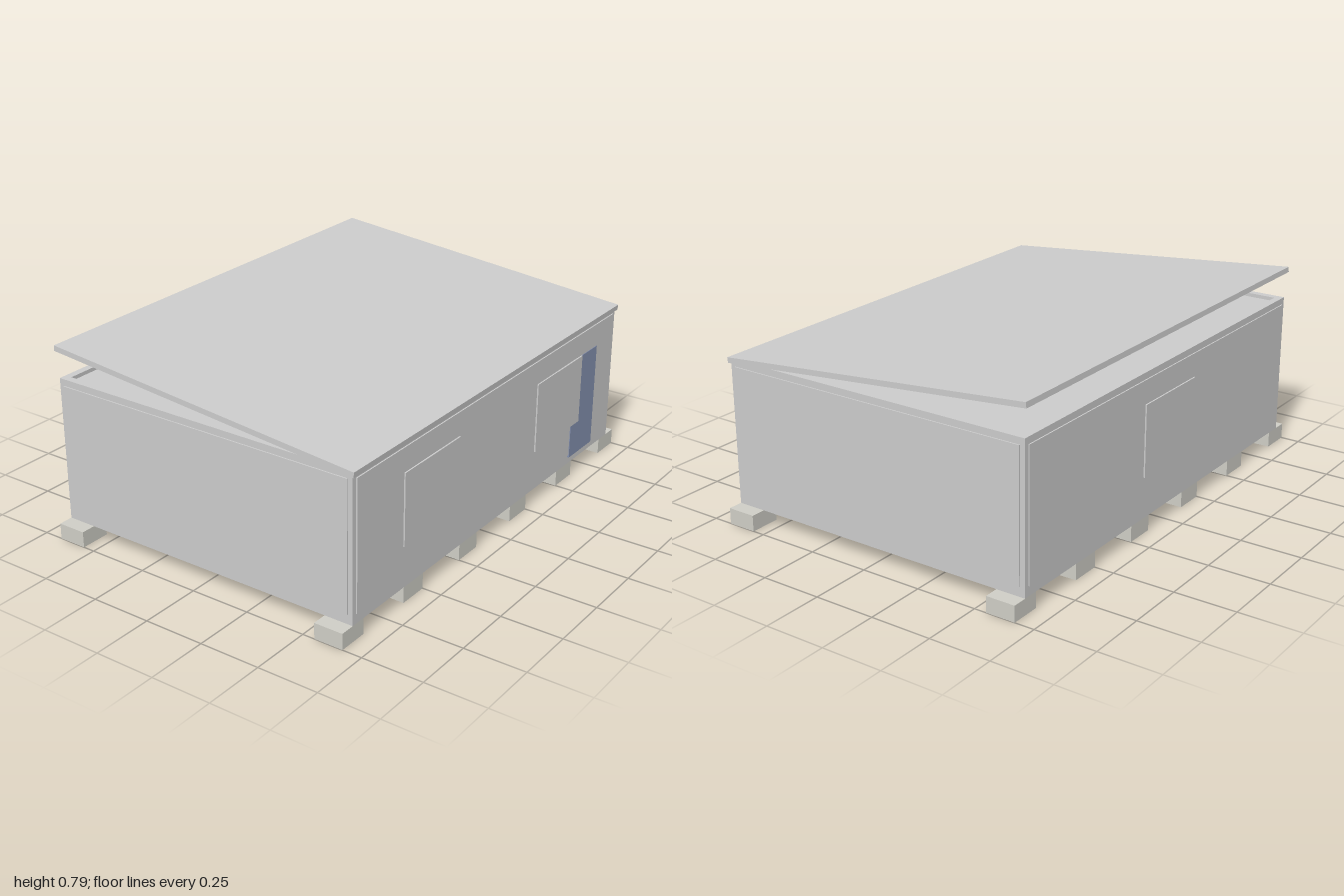
import * as THREE from 'three';

const GREY = new THREE.MeshStandardMaterial({ color: 0xcccccc });
const CONCRETE = new THREE.MeshStandardMaterial({ color: 0xcfcec6 });
const TIMBER = new THREE.MeshStandardMaterial({ color: 0xd6ccb8 });
const BLUE = new THREE.MeshStandardMaterial({ color: 0x8591b0 });

// Box given by its minimum and maximum on each axis
function box(parent, name, [x0, x1], [y0, y1], [z0, z1], material = GREY) {
  const mesh = new THREE.Mesh(new THREE.BoxGeometry(x1 - x0, y1 - y0, z1 - z0), material);
  mesh.position.set((x0 + x1) / 2, (y0 + y1) / 2, (z0 + z1) / 2);
  mesh.name = name;
  parent.add(mesh);
  return mesh;
}

// Span from a to b, flipped to the negative side when s is -1
const span = (s, a, b) => (s > 0 ? [a, b] : [-b, -a]);

export function createModel() {
  const model = new THREE.Group();
  model.name = 'cabin';
  const X = 0.94, Z = 0.67, BASE = 0.065, TOP = 0.655, T = 0.03;

  // Two rows of foundation blocks
  const blocks = new THREE.Group();
  blocks.name = 'foundationBlocks';
  for (const s of [1, -1]) {
    for (let i = 0; i < 6; i++) {
      const x = -0.9375 + i * 0.375;
      box(blocks, 'foundationBlock', [x - 0.0625, x + 0.0625], [0, BASE], span(s, 0.55, Z), CONCRETE);
    }
  }
  model.add(blocks);

  // Floor and the ceiling sunk just below the rim
  box(model, 'floor', [-X + 0.005, X - 0.005], [BASE - 0.001, BASE + 0.03], [-Z + 0.005, Z - 0.005], TIMBER);
  box(model, 'ceiling', [-X + T, X - T], [0.62, 0.64], [-Z + T, Z - T]);

  // Structural frame: corner posts, bottom and top rails
  const frame = new THREE.Group();
  frame.name = 'frame';
  for (const s of [1, -1]) {
    for (const t of [1, -1]) {
      box(frame, 'cornerPost', span(s, X - T, X), [BASE, TOP], span(t, Z - T, Z));
    }
    for (const [y0, y1] of [[BASE, 0.115], [0.61, TOP]]) {
      box(frame, 'longRail', [-X + T, X - T], [y0, y1], span(s, Z - T, Z));
      box(frame, 'shortRail', span(s, X - T, X), [y0, y1], [-Z + T, Z - T]);
    }
  }
  model.add(frame);

  // Wall panels standing slightly proud of the frame
  for (const s of [1, -1]) {
    box(model, s > 0 ? 'frontPanel' : 'backPanel', [-0.92, 0.92], [0.105, 0.628], span(s, Z - 0.02, Z + 0.005));
    box(model, s > 0 ? 'leftPanel' : 'rightPanel', span(s, X - 0.02, X + 0.005), [0.105, 0.628], [-0.65, 0.65]);
  }

  // Door with a window overlapping it, and the other windows
  box(model, 'door', [0.59, 0.78], [0.095, 0.532], [0.67, 0.678], BLUE);
  for (const x of [-0.46, 0.47]) {
    box(model, 'frontWindow', [x - 0.18, x + 0.18], [0.24, 0.532], [0.67, 0.681]);
  }
  box(model, 'backWindow', [-0.18, 0.18], [0.24, 0.532], [-0.681, -0.67]);

  // Mono-pitch roof, rising towards the back
  const roof = box(model, 'roof', [-0.948, 0.948], [0.702, 0.724], [-0.683, 0.683]);
  roof.rotation.x = 0.0922;

  return model;
}
